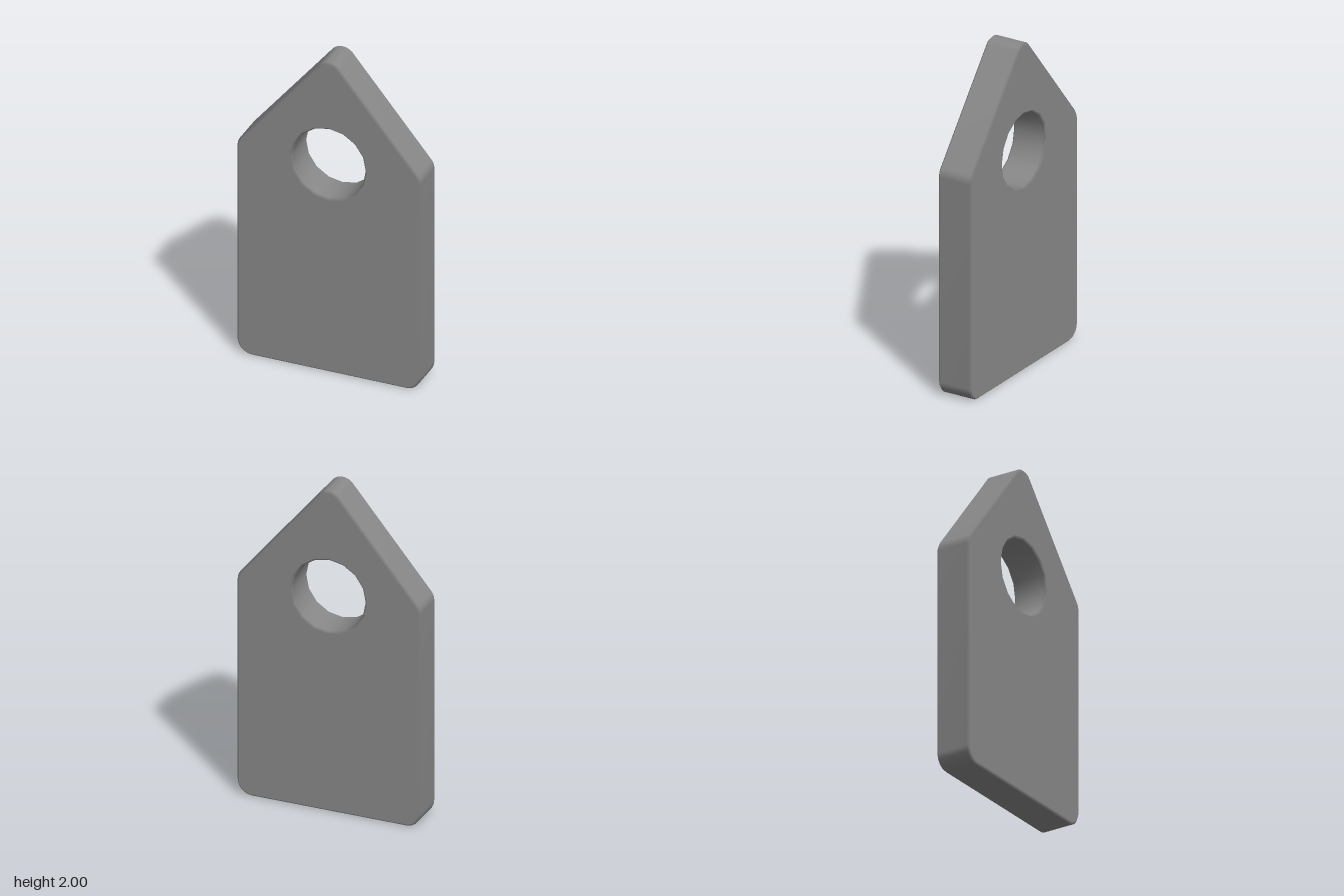
import * as THREE from 'three';
import { toCreasedNormals } from 'three/addons/utils/BufferGeometryUtils.js';

// Closed counter-clockwise outline; each corner is [x, y, radius]
function roundedPolygon(corners) {
  const shape = new THREE.Shape();
  const n = corners.length;
  corners.forEach(([x, y, r], i) => {
    const p = new THREE.Vector2(x, y);
    const toPrev = new THREE.Vector2(...corners[(i + n - 1) % n].slice(0, 2)).sub(p).normalize();
    const toNext = new THREE.Vector2(...corners[(i + 1) % n].slice(0, 2)).sub(p).normalize();
    const half = Math.acos(toPrev.dot(toNext)) / 2;
    const centre = toPrev.clone().add(toNext).normalize().multiplyScalar(r / Math.sin(half)).add(p);
    // Outward normals of the two edges bound the arc
    const start = Math.atan2(toPrev.x, -toPrev.y);
    const end = Math.atan2(-toNext.x, toNext.y);
    shape.absarc(centre.x, centre.y, r, start, end, false);
  });
  shape.closePath();
  return shape;
}

// Flat faces and walls, with the shading blending only across the chamfers
function blendChamfers(geometry, faceZ) {
  const { position, normal } = geometry.attributes;
  const v = new THREE.Vector3();
  for (let i = 0; i < position.count; i++) {
    const z = position.getZ(i);
    if (Math.abs(z) > faceZ - 1e-4) v.set(0, 0, Math.sign(z));
    else v.fromBufferAttribute(normal, i).setZ(0).normalize();
    normal.setXYZ(i, v.x, v.y, v.z);
  }
  return geometry;
}

export function createModel() {
  const group = new THREE.Group();
  group.name = 'tag';
  const halfWidth = 0.558, thickness = 0.22, bevel = 0.014;

  // Tag outline: soft bottom corners, sloped shoulders, rounded tip
  const outline = roundedPolygon([
    [-halfWidth, 0, 0.09],
    [halfWidth, 0, 0.09],
    [halfWidth, 1.37, 0.085],
    [0, 2.045, 0.08],
    [-halfWidth, 1.37, 0.085],
  ]);

  // Sixteen-sided hanging hole
  const hole = new THREE.Path();
  hole.absarc(0, 1.344, 0.223, 0, Math.PI * 2, true);
  outline.holes.push(hole);

  // Plate with chamfered rims
  const depth = thickness - 2 * bevel;
  const geometry = new THREE.ExtrudeGeometry(outline, {
    depth, curveSegments: 8, bevelEnabled: true, bevelSegments: 1,
    bevelSize: bevel, bevelThickness: bevel, bevelOffset: -bevel,
  });
  geometry.translate(0, 0, -depth / 2);

  const plate = new THREE.Mesh(
    blendChamfers(toCreasedNormals(geometry, 0.7), thickness / 2),
    new THREE.MeshStandardMaterial({ color: 0x888888 }),
  );
  plate.name = 'plate';
  group.add(plate);
  return group;
}
